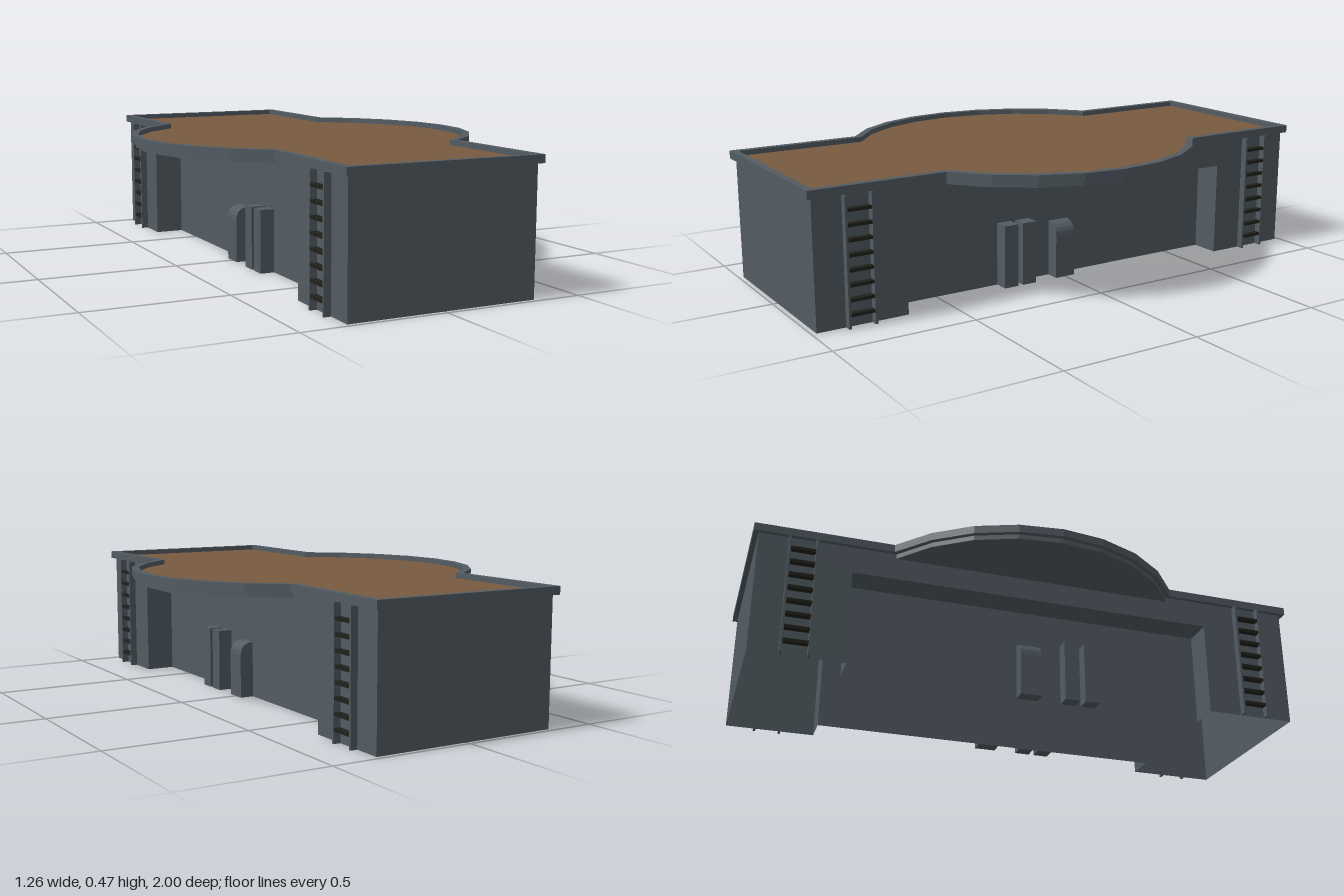
import * as THREE from 'three';

const slate = new THREE.MeshStandardMaterial({ color: 0x525c63, side: THREE.DoubleSide });
slate.name = 'slate';
const brown = new THREE.MeshStandardMaterial({ color: 0x785b40, side: THREE.DoubleSide });
brown.name = 'brown roof';
const dark = new THREE.MeshStandardMaterial({ color: 0x20211a });
dark.name = 'dark rung';

const W = 0.337, L = 0.983, H = 0.437;          // wall half width, half length, height
const RW = 0.23, RL = 0.66, RH = 0.34;          // side recess

function add(parent, name, geometry, material, x = 0, y = 0, z = 0) {
  const m = new THREE.Mesh(geometry, material);
  m.name = name;
  m.position.set(x, y, z);
  parent.add(m);
  return m;
}

// Points of a faceted arc bulging to +x (sign 1) or -x (sign -1)
function arc(r, halfW, sign) {
  const a = Math.acos(halfW / r), pts = [];
  for (let i = 0; i <= 8; i++) {
    const t = -a + (2 * a * i) / 8;
    pts.push(new THREE.Vector2(sign * r * Math.cos(t), sign * r * Math.sin(t)));
  }
  return pts;
}

// Rectangular hall outline with a round middle
function outline(halfW, halfL, r) {
  const v = (x, y) => new THREE.Vector2(x, y);
  return [v(-halfW, -halfL), v(halfW, -halfL), ...arc(r, halfW, 1),
    v(halfW, halfL), v(-halfW, halfL), ...arc(r, halfW, -1)];
}

function slab(shape, depth) {
  return new THREE.ExtrudeGeometry(shape, { depth, bevelEnabled: false }).rotateX(-Math.PI / 2);
}

// Walls, recess, doors and ladders of one long side, built facing +x
function buildSide() {
  const g = new THREE.Group();
  const wall = new THREE.Shape([[-L, 0], [-RL, 0], [-RL, RH], [RL, RH], [RL, 0], [L, 0], [L, H], [-L, H]]
    .map(([x, y]) => new THREE.Vector2(x, y)));
  add(g, 'sideWall', new THREE.ShapeGeometry(wall).rotateY(Math.PI / 2), slate, W);

  const depth = W - RW, mid = (W + RW) / 2;
  add(g, 'recessWall', new THREE.PlaneGeometry(2 * RL, RH).rotateY(Math.PI / 2), slate, RW, RH / 2);
  add(g, 'recessCeiling', new THREE.PlaneGeometry(depth, 2 * RL).rotateX(Math.PI / 2), slate, mid, RH);
  for (const s of [-1, 1]) {
    const end = new THREE.PlaneGeometry(depth, RH);
    if (s > 0) end.rotateY(Math.PI);
    add(g, 'recessEnd', end, slate, mid, RH / 2, s * RL);
  }

  // Two square cabinets and one round-topped one
  for (const z of [0.228, 0.153]) {
    add(g, 'cabinet', new THREE.BoxGeometry(0.052, 0.225, 0.055), slate, RW + 0.026, 0.1125, z);
  }
  const hood = new THREE.Shape();
  hood.moveTo(0, 0);
  hood.lineTo(0.05, 0);
  hood.lineTo(0.05, 0.155);
  hood.quadraticCurveTo(0.05, 0.2, 0, 0.203);
  add(g, 'roundedCabinet', new THREE.ExtrudeGeometry(hood, { depth: 0.078, bevelEnabled: false, curveSegments: 5 }),
    slate, RW, 0, -0.039);

  // Ladders near both ends
  for (const s of [-1, 1]) {
    const ladder = new THREE.Group();
    ladder.name = 'ladder';
    ladder.position.set(W + 0.0125, 0, s * 0.832);
    for (const r of [-1, 1]) {
      add(ladder, 'ladderRail', new THREE.BoxGeometry(0.025, H, 0.008), slate, 0, H / 2, r * 0.046);
    }
    for (let i = 0; i < 8; i++) {
      add(ladder, 'ladderRung', new THREE.BoxGeometry(0.022, 0.011, 0.084), dark, 0, 0.045 + i * 0.049, 0);
    }
    g.add(ladder);
  }
  return g;
}

export function createModel() {
  const model = new THREE.Group();
  model.name = 'hall';

  // Long sides; the far one is reflected
  const left = buildSide();
  left.name = 'leftSide';
  const right = buildSide();
  right.name = 'rightSide';
  right.scale.x = -1;
  model.add(left, right);

  // End walls
  add(model, 'frontWall', new THREE.PlaneGeometry(2 * W, H), slate, 0, H / 2, L);
  add(model, 'backWall', new THREE.PlaneGeometry(2 * W, H).rotateY(Math.PI), slate, 0, H / 2, -L);

  // Round slab under the roof
  const disc = new THREE.Shape([...arc(0.612, W, 1), ...arc(0.612, W, -1)]);
  add(model, 'roundSlab', slab(disc, H - 0.42), slate, 0, 0.42, 0);

  // Parapet around the sunken roof
  const rim = new THREE.Shape(outline(0.352, 1, 0.628));
  const inner = outline(0.327, 0.975, 0.602);
  rim.holes.push(new THREE.Path(inner));
  add(model, 'parapet', slab(rim, 0.465 - H), slate, 0, H, 0);
  add(model, 'roof', new THREE.ShapeGeometry(new THREE.Shape(inner)).rotateX(-Math.PI / 2), brown, 0, 0.447, 0);

  return model;
}
